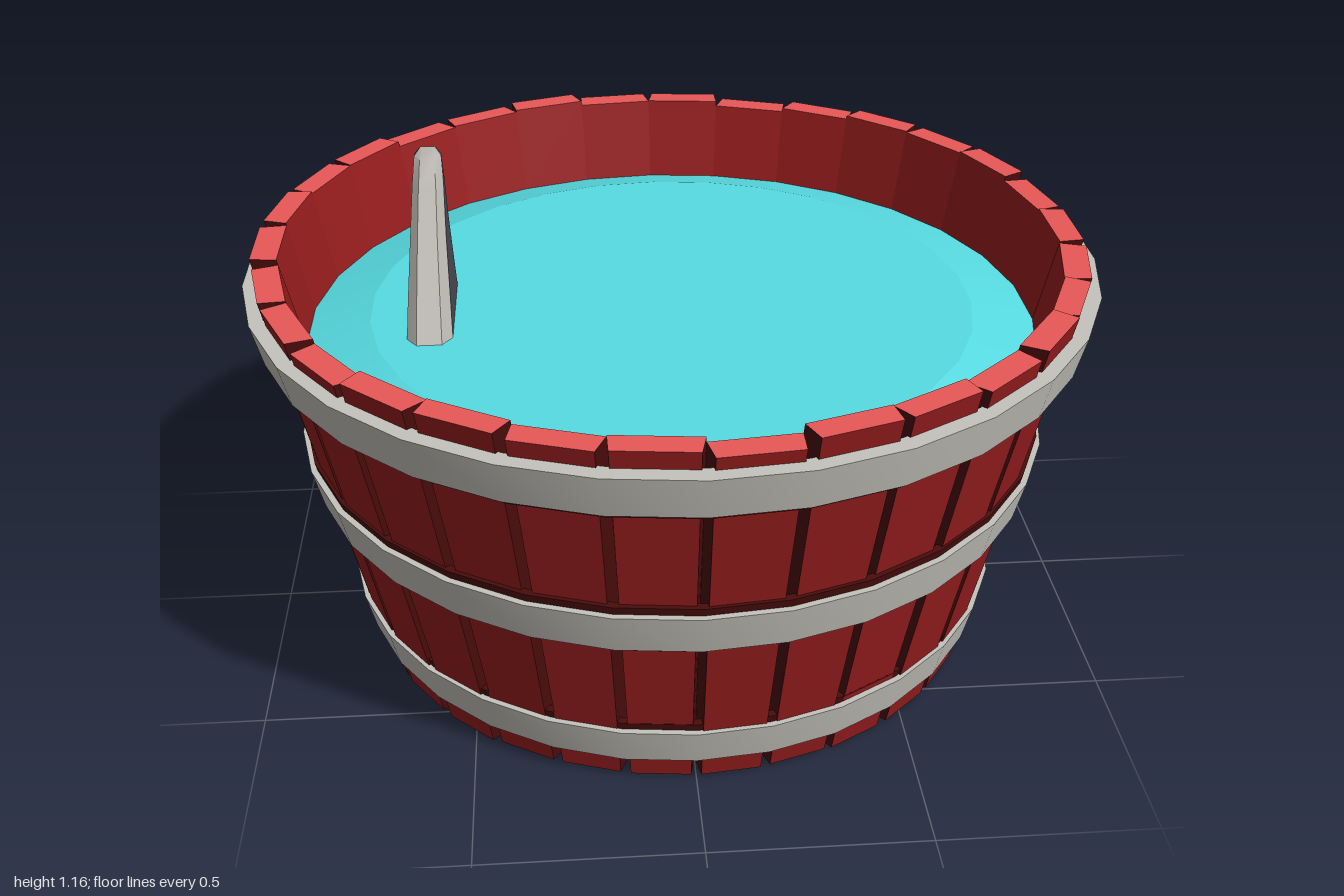
import * as THREE from 'three';
import { toCreasedNormals } from 'three/addons/utils/BufferGeometryUtils.js';

const COUNT = 30;
const STEP = (Math.PI * 2) / COUNT;
const WATERLINE = 0.785;

function material(name, color, extra = {}) {
  const m = new THREE.MeshStandardMaterial({ color, ...extra });
  m.name = name;
  return m;
}

function mesh(name, geometry, mat) {
  const m = new THREE.Mesh(geometry, mat);
  m.name = name;
  return m;
}

function seeded(seed) {
  let s = seed;
  return () => (s = (s * 16807) % 2147483647) / 2147483647;
}

// Ring or disc turned from a profile, with sharp profile edges
function turned(points, crease) {
  const profile = points.map(([r, y]) => new THREE.Vector2(r, y));
  return toCreasedNormals(new THREE.LatheGeometry(profile, COUNT), crease);
}

// Leaning plank: a box whose corners follow the flare of the tub
function staveGeometry(bottom, top, bulge) {
  const g = new THREE.BoxGeometry(1, 1, 1, 1, 2, 1);
  const p = g.attributes.position;
  for (let i = 0; i < p.count; i++) {
    const level = p.getY(i);
    const y = level > 0.1 ? top : level < -0.1 ? bottom : WATERLINE;
    const inner = 0.7 + 0.21 * y;
    const outside = p.getZ(i) > 0;
    const half = inner * Math.tan(STEP / 2) * (outside ? 0.93 : 1);
    p.setXYZ(i, Math.sign(p.getX(i)) * half, y, outside ? inner + 0.057 + bulge : inner);
  }
  g.computeVertexNormals();
  // The inner face is split at the waterline
  const inside = g.groups.pop();
  g.addGroup(inside.start, 6, 5);
  g.addGroup(inside.start + 6, 6, 6);
  return g;
}

// Flat polygons, each cut into a fan of triangles
function polygonGeometry(polygons) {
  const pos = [];
  for (const poly of polygons) {
    for (let i = 1; i < poly.length - 1; i++) pos.push(...poly[0], ...poly[i], ...poly[i + 1]);
  }
  const g = new THREE.BufferGeometry();
  g.setAttribute('position', new THREE.Float32BufferAttribute(pos, 3));
  return toCreasedNormals(g, 0.7);
}

export function createModel() {
  const red = material('red wood', 0x981d1e);
  const darkRed = material('dark wood', 0x4a0c0c);
  const lightRed = material('cut wood top', 0xf25c5b);
  const grey = material('hoop metal', 0xc5c3bc);
  const blue = material('water', 0x57dce2, { side: THREE.DoubleSide });
  const slate = material('fin side', 0x4b4b56);
  const finGrey = material('fin edge', 0xb4b1aa);

  const model = new THREE.Group();
  model.name = 'tub';

  // Staves with uneven ends, dark on the sides and below the water
  const staves = new THREE.Group();
  staves.name = 'staves';
  const random = seeded(4711);
  for (let i = 0; i < COUNT; i++) {
    const top = 0.98 + 0.035 * random();
    const g = staveGeometry(0.012 * random(), top, 0.006 * random());
    const stave = mesh('stave', g, [darkRed, darkRed, lightRed, darkRed, red, red, darkRed]);
    stave.rotation.y = (i + 0.5) * STEP;
    staves.add(stave);
  }
  model.add(staves);

  // Three hoops following the flare, each over a slightly taller stained band
  for (const [low, high] of [[0.07, 0.165], [0.45, 0.55], [0.85, 0.95]]) {
    const ring = (base, thick, y0, y1) => {
      const r = (y) => base + 0.24 * y;
      return turned([[r(y0), y0], [r(y1), y1], [r(y1) - thick, y1], [r(y0) - thick, y0], [r(y0), y0]], 0.5);
    };
    model.add(mesh('hoop', ring(0.772, 0.045, low, high), grey));
    model.add(mesh('stainedBand', ring(0.757, 0.02, low - 0.015, Math.min(high + 0.02, 0.945)), darkRed));
  }

  // Water, gently domed toward the rim
  model.add(mesh('water', turned([[0.88, WATERLINE], [0.72, 0.83], [0, 0.83]], 0.1), blue));

  // Fin sections: height, front z, back z, half width; the front is chamfered
  const sections = [
    [0.79, 0.235, -0.12, 0.055],
    [0.9, 0.14, -0.115, 0.049],
    [1.01, 0.035, -0.125, 0.042],
    [1.1, -0.072, -0.148, 0.037],
    [1.15, -0.137, -0.172, 0.032],
    [1.165, -0.163, -0.18, 0.018],
  ].map(([y, f, b, w]) => {
    const c = f - Math.min(0.035, (f - b) * 0.6);
    const h = w * 0.55;
    return [[-w, y, c], [-h, y, f], [h, y, f], [w, y, c], [w, y, b], [-w, y, b]];
  });
  const edge = [sections[sections.length - 1]];
  const sides = [];
  for (let i = 0; i < sections.length - 1; i++) {
    const lo = sections[i];
    const hi = sections[i + 1];
    for (let k = 0; k < 6; k++) {
      const n = (k + 1) % 6;
      (k < 3 ? edge : sides).push([lo[k], lo[n], hi[n], hi[k]]);
    }
  }
  const fin = new THREE.Group();
  fin.name = 'fin';
  fin.position.x = -0.572;
  fin.add(mesh('finLeadingEdge', polygonGeometry(edge), finGrey));
  fin.add(mesh('finSides', polygonGeometry(sides), slate));
  model.add(fin);

  return model;
}
